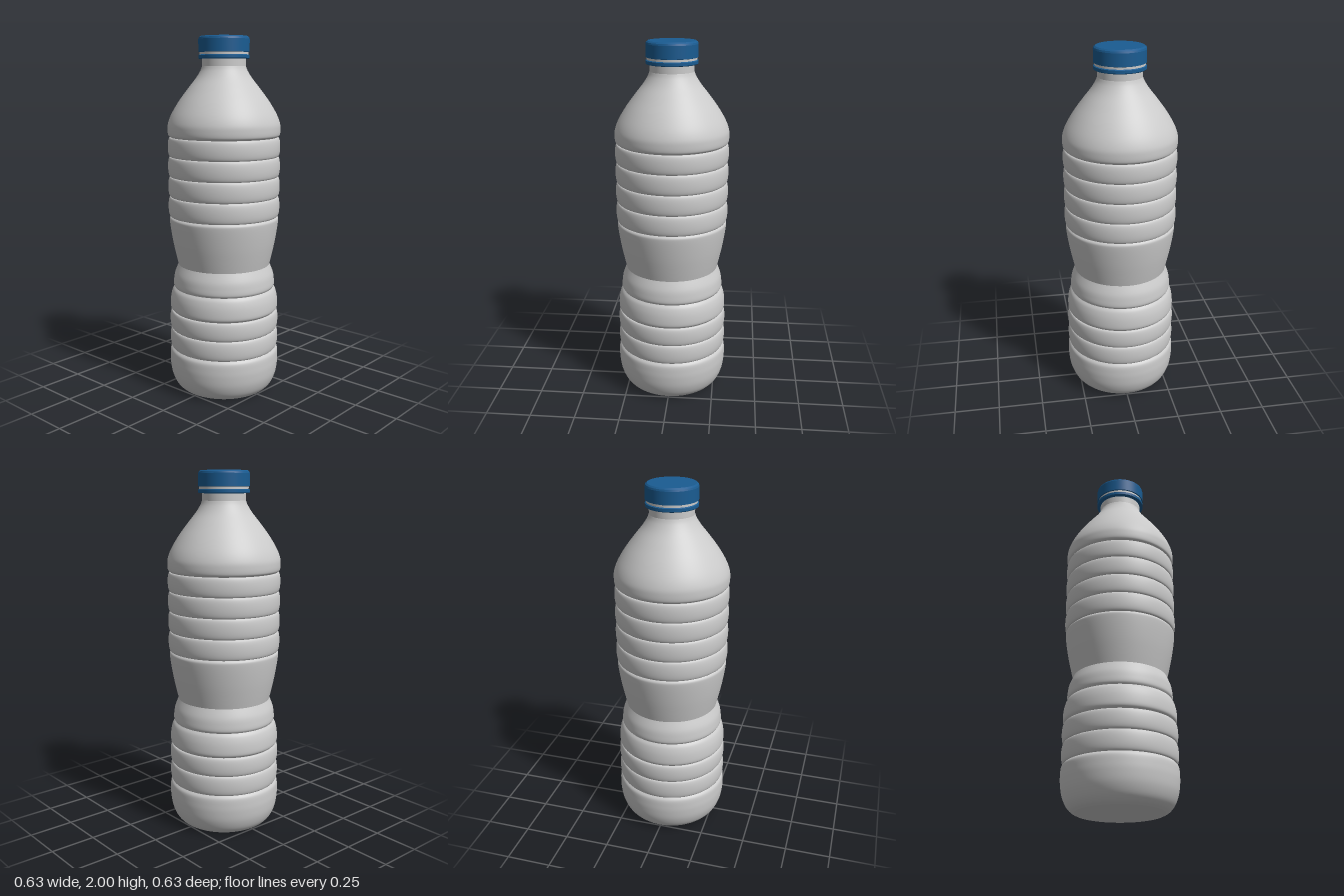
import * as THREE from 'three';

const SEGMENTS = 96;
const plastic = new THREE.MeshStandardMaterial({ color: 0xcccccc, side: THREE.DoubleSide });
const blue = new THREE.MeshStandardMaterial({ color: 0x1a5c92, side: THREE.DoubleSide });

const toPoints = (list) => list.map(([r, y]) => new THREE.Vector2(r, y));

// Smooth curve through a few [radius, height] points
const smooth = (list, steps = 24) => new THREE.SplineCurve(toPoints(list)).getPoints(steps);

// Each section is turned separately, so the joints between sections stay crisp
function turned(name, points, material = plastic) {
  const mesh = new THREE.Mesh(new THREE.LatheGeometry(points, SEGMENTS), material);
  mesh.name = name;
  return mesh;
}

// Rounded rib between two grooves
function ribProfile(bottom, top, groove = 0.297, crest = 0.313) {
  const points = [];
  for (let i = 0; i <= 20; i++) {
    const a = Math.PI * (i / 20 - 0.5);
    const c = Math.max(0, Math.cos(a));
    const y = (bottom + top) / 2 + Math.sin(a) * (top - bottom) / 2;
    points.push(new THREE.Vector2(groove + (crest - groove) * Math.pow(c, 0.7), y));
  }
  return points;
}

export function createModel() {
  const bottle = new THREE.Group();
  bottle.name = 'bottle';

  // Flat underside and rounded base
  bottle.add(turned('underside', toPoints([[0, 0], [0.235, 0]])));
  bottle.add(turned('base', smooth([
    [0.235, 0], [0.26, 0.014], [0.285, 0.045], [0.304, 0.095], [0.312, 0.15],
    [0.313, 0.19], [0.31, 0.23], [0.297, 0.248],
  ], 36)));

  // Lower ribs
  [[0.248, 0.36], [0.36, 0.468]].forEach(([a, b], i) =>
    bottle.add(turned(`lowerRib${i + 1}`, ribProfile(a, b, 0.294, 0.311))));

  // Two stepped bulges leading up to the waist
  bottle.add(turned('lowerBulge', smooth([
    [0.294, 0.468], [0.306, 0.482], [0.308, 0.51], [0.304, 0.55], [0.294, 0.585], [0.281, 0.603],
  ])));
  bottle.add(turned('upperBulge', smooth([
    [0.281, 0.603], [0.288, 0.617], [0.287, 0.645], [0.28, 0.685], [0.26, 0.735],
  ])));

  // Flared grip above the waist
  bottle.add(turned('grip', smooth([
    [0.26, 0.735], [0.273, 0.79], [0.288, 0.86], [0.3, 0.93], [0.307, 0.985], [0.306, 1.003], [0.297, 1.013],
  ])));

  // Upper ribs
  const grooves = [1.013, 1.125, 1.237, 1.348, 1.455];
  for (let i = 0; i < grooves.length - 1; i++) {
    bottle.add(turned(`upperRib${i + 1}`, ribProfile(grooves[i], grooves[i + 1])));
  }

  // Domed shoulder and neck
  bottle.add(turned('shoulder', smooth([
    [0.297, 1.455], [0.31, 1.468], [0.313, 1.5], [0.309, 1.535], [0.289, 1.585],
    [0.25, 1.65], [0.2, 1.718], [0.155, 1.775], [0.13, 1.815], [0.12, 1.84],
  ], 48)));
  bottle.add(turned('neck', toPoints([[0.12, 1.84], [0.12, 1.885]])));

  // Tamper ring, pale gap and screw cap
  const ring = [[0.12, 1.879], [0.136, 1.879], [0.14, 1.883], [0.14, 1.898], [0.134, 1.902]];
  const cap = [[0.134, 1.914], [0.14, 1.916], [0.14, 1.984], [0.137, 1.993], [0.128, 2], [0, 2]];
  const banded = (name, list) => {
    const group = new THREE.Group();
    group.name = name;
    for (let i = 0; i < list.length - 1; i++) {
      group.add(turned(`${name}Face${i + 1}`, toPoints([list[i], list[i + 1]]), blue));
    }
    return group;
  };
  bottle.add(banded('tamperRing', ring));
  bottle.add(turned('neckBand', toPoints([[0.134, 1.9], [0.134, 1.916]])));
  bottle.add(banded('cap', cap));

  return bottle;
}
